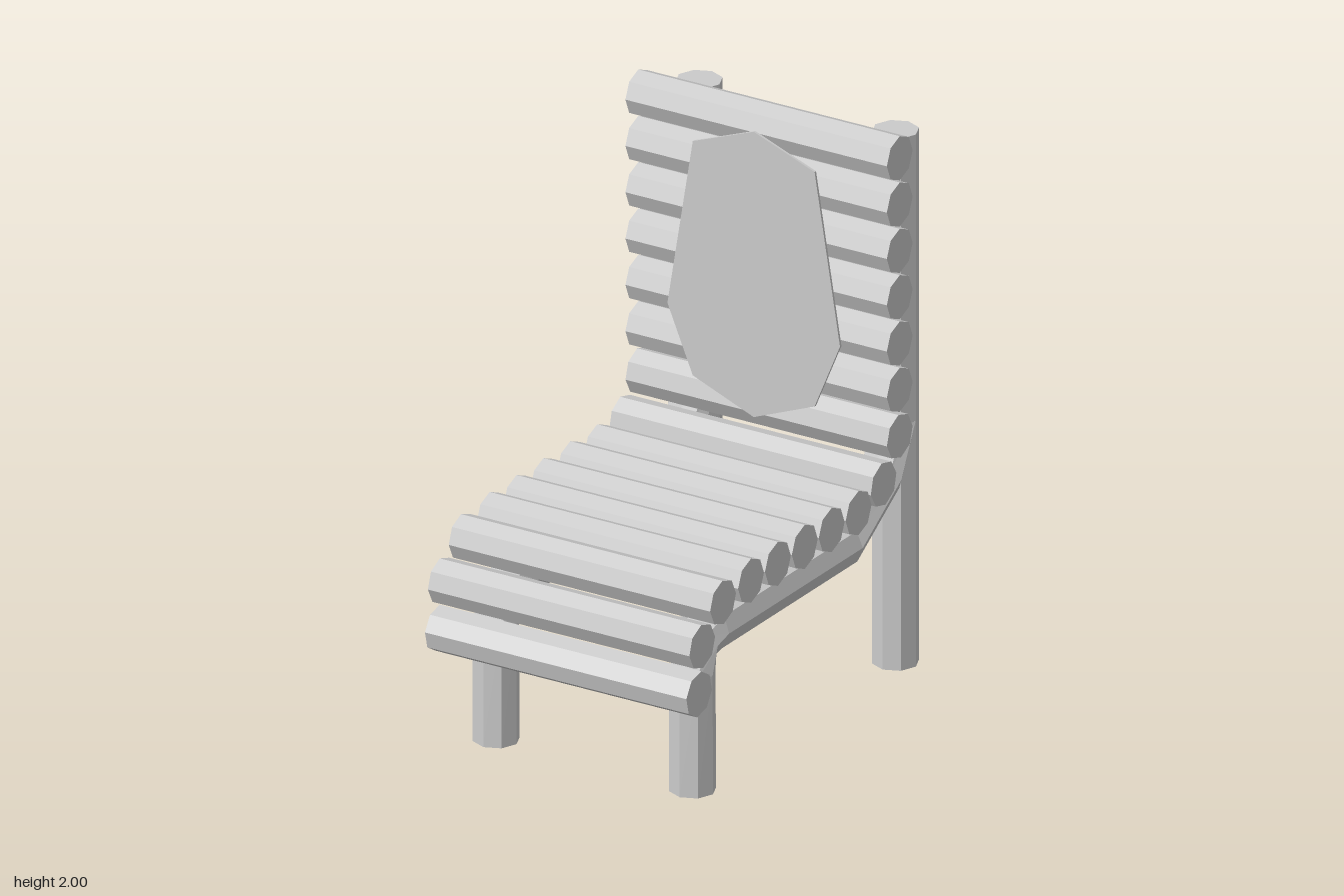
import * as THREE from 'three';

const SIDES = 8;
const R = 0.08;
const POST_X = 0.387;

export function createModel() {
  const group = new THREE.Group();
  const mat = new THREE.MeshStandardMaterial({ color: 0xcccccc, flatShading: true });
  const add = (name, geo, x = 0, y = 0, z = 0) => {
    const mesh = new THREE.Mesh(geo, mat);
    mesh.name = name;
    mesh.position.set(x, y, z);
    group.add(mesh);
  };

  // Log slats across the chair: [z, y, tilt]
  const slat = (name, z, y, tilt = 0) => {
    const geo = new THREE.CylinderGeometry(R, R, 1.03, SIDES);
    geo.rotateZ(Math.PI / 2).rotateX(tilt);
    add(name, geo, 0, y, z);
  };
  for (let i = 0; i < 7; i++) slat('backSlat', -0.53, 1.92 - i * 0.168, i === 6 ? 0.1 : 0);
  for (let i = 0; i < 5; i++) slat('seatSlat', 0.39 - i * 0.1663, 0.727);
  slat('seatSlat', -0.43, 0.775, 0.15);
  slat('frontSlat', 0.563, 0.712, 0.05);
  slat('frontSlat', 0.692, 0.6, 0.08);
  slat('frontSlat', 0.711, 0.433, -0.15);

  // Bent front leg and seat rail, as outer and inner edge points: [z, y, z, y]
  const sections = [
    [0.63, 0, 0.47, 0],
    [0.63, 0.43, 0.475, 0.43],
    [0.56, 0.59, 0.48, 0.465],
    [0.44, 0.625, 0.46, 0.467],
    [-0.375, 0.63, -0.38, 0.473],
    [-0.58, 0.77, -0.65, 0.65],
    [-0.63, 0.89, -0.775, 0.89],
  ];
  const railGeometry = () => {
    const pos = [], idx = [];
    for (const [oz, oy, iz, iy] of sections) {
      for (let k = 0; k < SIDES; k++) {
        const a = (k / SIDES) * Math.PI * 2, s = Math.sin(a) / 2;
        pos.push(R * Math.cos(a), (oy + iy) / 2 + (oy - iy) * s, (oz + iz) / 2 + (oz - iz) * s);
      }
    }
    const last = (sections.length - 1) * SIDES;
    for (let j = 0; j < last; j += SIDES) {
      for (let k = 0; k < SIDES; k++) {
        const n = (k + 1) % SIDES;
        idx.push(j + k, j + SIDES + k, j + n, j + n, j + SIDES + k, j + SIDES + n);
      }
    }
    for (let k = 1; k < SIDES - 1; k++) {
      idx.push(0, k, k + 1, last, last + k + 1, last + k);
    }
    const geo = new THREE.BufferGeometry();
    geo.setAttribute('position', new THREE.Float32BufferAttribute(pos, 3));
    geo.setIndex(idx);
    const flat = geo.toNonIndexed();
    flat.computeVertexNormals();
    return flat;
  };

  for (const side of [-1, 1]) {
    add('legRail', railGeometry(), side * POST_X);
    add('rearPost', new THREE.CylinderGeometry(R, R, 1.93, SIDES), side * POST_X, 0.965, -0.705);
  }

  // Flat crossbars between the rear posts
  for (const y of [1.667, 1.167]) {
    add('crossbar', new THREE.BoxGeometry(0.68, 0.18, 0.055), 0, y, -0.737);
  }

  // Thin faceted panel on the front of the backrest
  const half = [[0, 1.93], [-0.24, 1.84], [-0.34, 1.23], [-0.24, 0.99], [0, 0.895]];
  const mirrored = half.slice(1, -1).reverse().map(([x, y]) => [-x, y]);
  const outline = [...half, ...mirrored].map(([x, y]) => new THREE.Vector2(x, y));
  const panel = new THREE.ExtrudeGeometry(new THREE.Shape(outline), { depth: 0.009, bevelEnabled: false });
  add('backPanel', panel, 0, 0, -0.444);

  return group;
}
